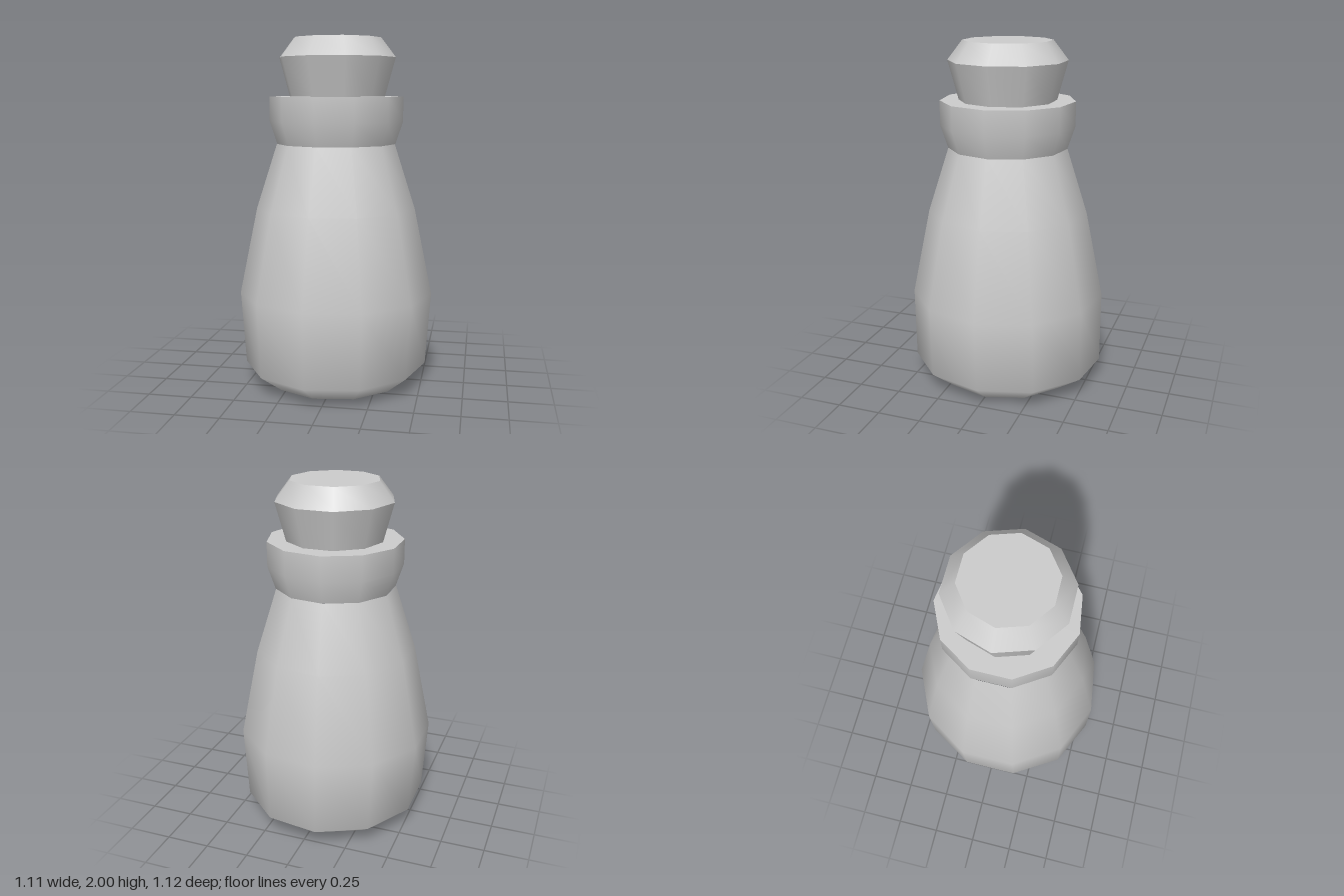
import * as THREE from 'three';

const material = new THREE.MeshStandardMaterial({ color: 0xcccccc });

// Smooth-shaded ring wall with one corner on +x; profile is [radius, y] upwards
function wall(name, sides, centreX, profile) {
  const points = profile.map(([r, y]) => new THREE.Vector2(r, y));
  const mesh = new THREE.Mesh(new THREE.LatheGeometry(points, sides, Math.PI / 2), material);
  mesh.name = name;
  mesh.position.x = centreX;
  return mesh;
}

// Flat polygon closing a wall, facing up (1) or down (-1)
function cap(name, sides, centreX, radius, y, facing) {
  const geometry = new THREE.CircleGeometry(radius, sides).rotateX(-facing * Math.PI / 2);
  const mesh = new THREE.Mesh(geometry, material);
  mesh.name = name;
  mesh.position.set(centreX, y, 0);
  return mesh;
}

export function createModel() {
  const model = new THREE.Group();
  model.name = 'corkedBottle';

  // Body: tapered, eleven-sided, slightly deeper than wide at the lower rim
  const body = wall('body', 11, -0.013, [
    [0.403, 0], [0.533, 0.11], [0.564, 0.53], [0.461, 1.03], [0.342, 1.4],
  ]);
  const position = body.geometry.attributes.position;
  for (let i = 0; i < position.count; i++) {
    if (Math.abs(position.getY(i) - 0.11) < 0.01) position.setZ(i, position.getZ(i) * 1.06);
  }
  model.add(body, cap('base', 11, -0.013, 0.403, 0, -1));

  // Collar around the mouth
  model.add(
    wall('collar', 11, -0.01, [[0.342, 1.4], [0.385, 1.53], [0.385, 1.67]]),
    cap('collarTop', 11, -0.01, 0.385, 1.67, 1),
  );

  // Cork: flared plug with a bevelled top, ten-sided
  model.add(
    wall('corkPlug', 10, -0.008, [[0.278, 1.67], [0.338, 1.89]]),
    wall('corkBevel', 10, -0.008, [[0.338, 1.89], [0.253, 2]]),
    cap('corkTop', 10, -0.008, 0.253, 2, 1),
  );
  return model;
}
